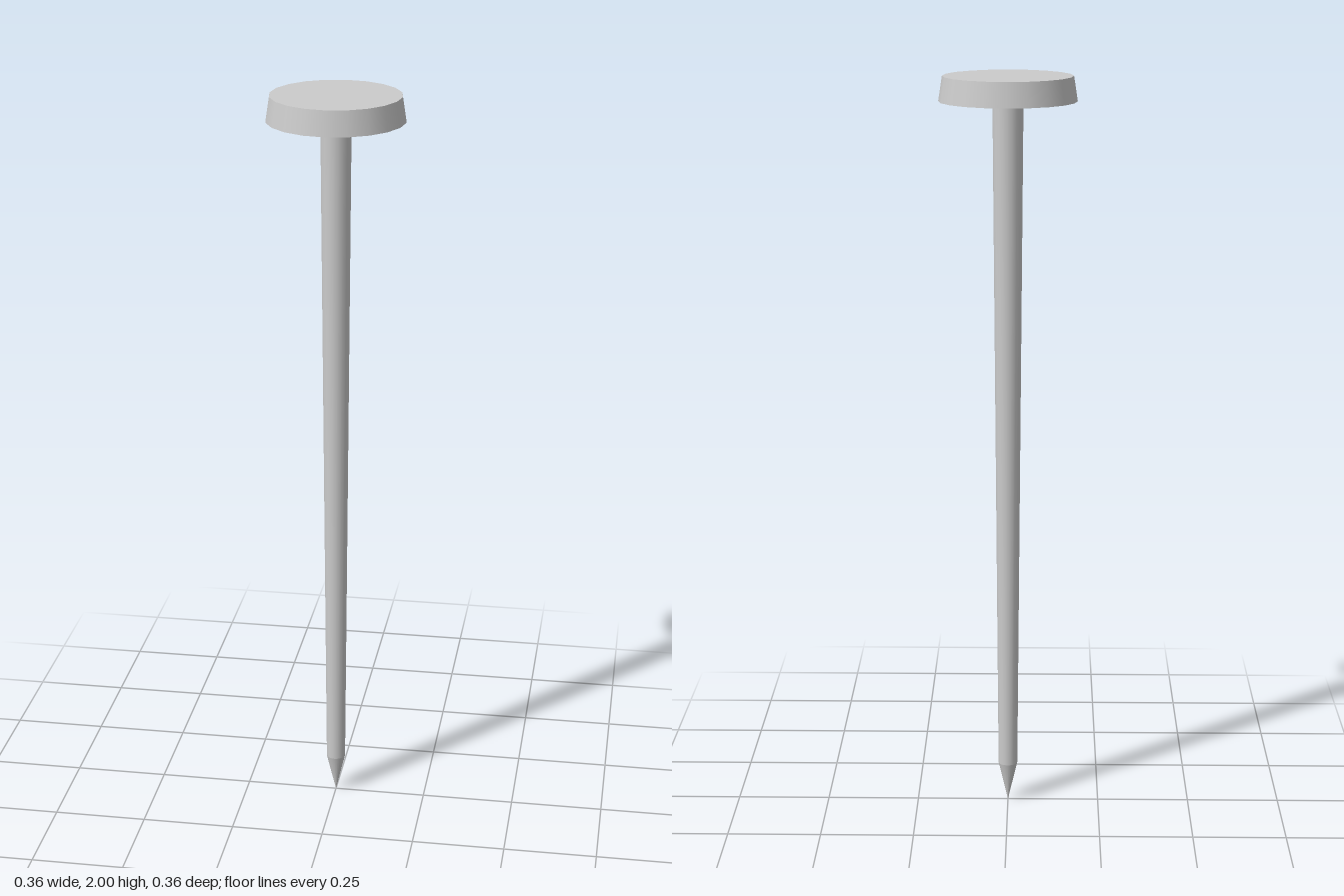
import * as THREE from 'three';

const SIDES = 20;

export function createModel() {
  const nail = new THREE.Group();
  nail.name = 'nail';
  const material = new THREE.MeshStandardMaterial({ color: 0xcccccc });

  // Round tapered section between two heights, with smooth sides and sharp ends
  function section(name, yBottom, rBottom, yTop, rTop) {
    const geometry = new THREE.CylinderGeometry(rTop, rBottom, yTop - yBottom, SIDES, 1, true);
    geometry.translate(0, (yTop + yBottom) / 2, 0);
    const mesh = new THREE.Mesh(geometry, material);
    mesh.name = name;
    nail.add(mesh);
  }

  section('tip', 0, 0, 0.11, 0.026);
  section('shaft', 0.11, 0.026, 1.92, 0.04);
  section('headUnderside', 1.92, 0.04, 1.935, 0.18);
  section('headRim', 1.935, 0.18, 2, 0.17);

  // Flat striking face
  const face = new THREE.Mesh(new THREE.CircleGeometry(0.17, SIDES), material);
  face.name = 'headFace';
  face.rotation.x = -Math.PI / 2;
  face.position.y = 2;
  nail.add(face);

  return nail;
}
